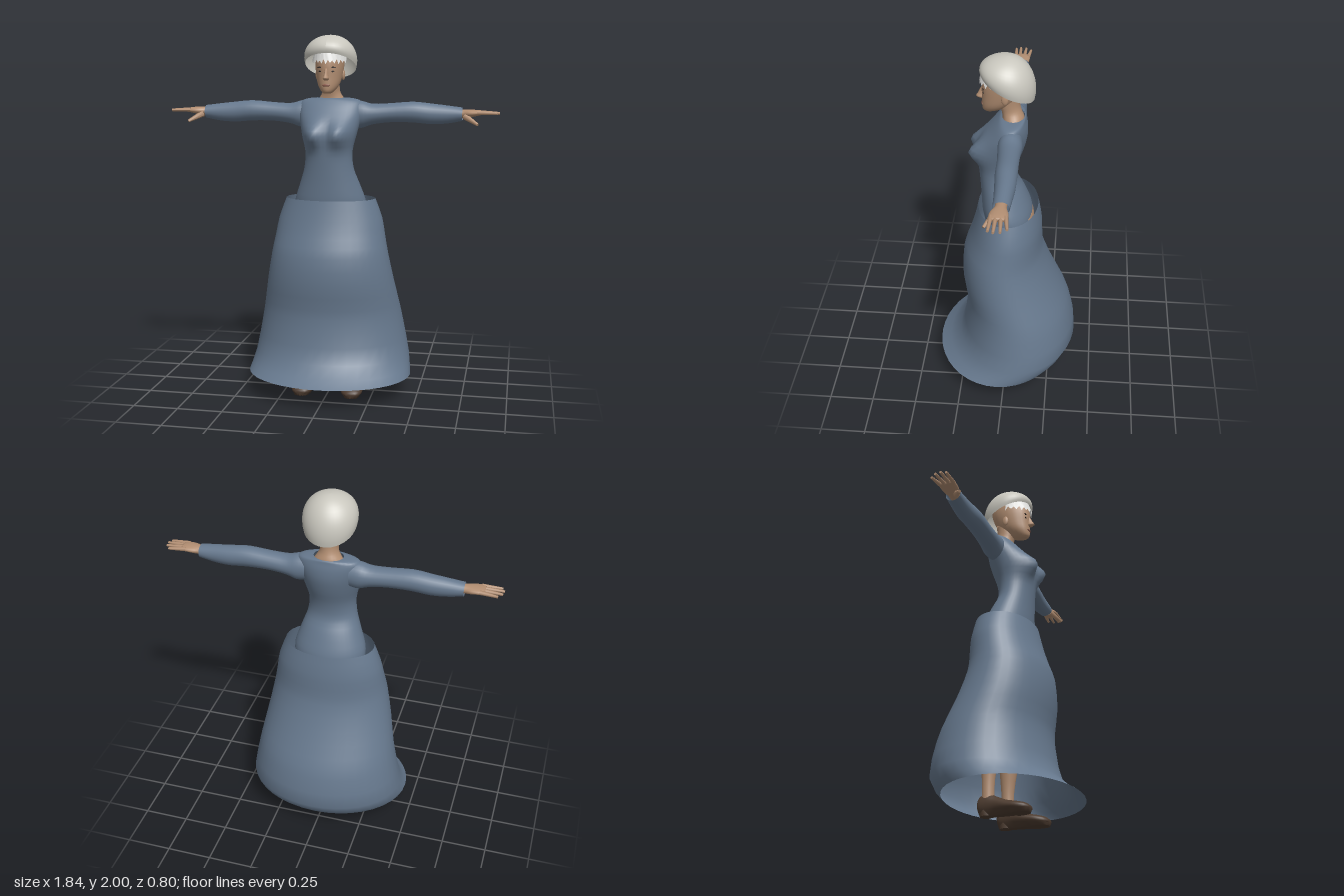
import * as THREE from 'three';

const material = (name, color, side = THREE.FrontSide) => {
  const m = new THREE.MeshStandardMaterial({ color, side });
  m.name = name;
  return m;
};

// Axis mappings from (along, u, v) to x, y, z
const AXES = {
  x: (t, u, v) => [t, v, u],
  y: (t, u, v) => [u, t, v],
  z: (t, u, v) => [v, u, t],
};

// Smoothly resample cross-sections with a Catmull-Rom rule
function resample(rings, sub) {
  const out = [];
  const last = rings.length - 1;
  for (let i = 0; i < last; i++) {
    const [a, b, c, d] = [rings[Math.max(i - 1, 0)], rings[i], rings[i + 1], rings[Math.min(i + 2, last)]];
    for (let s = 0; s < sub; s++) {
      const k = s / sub;
      out.push(b.map((_, j) => b[j] + 0.5 * k * (c[j] - a[j]
        + k * (2 * a[j] - 5 * b[j] + 4 * c[j] - d[j] + k * (3 * (b[j] - c[j]) + d[j] - a[j])))));
    }
  }
  out.push(rings[last]);
  return out;
}

// Skin oval rings [along, centreU, radiusU, maxV, minV], listed in rising order
function loft(axis, rings, { n = 24, sub = 3, caps = true, warp = null } = {}) {
  const map = AXES[axis];
  const rows = resample(rings, sub);
  const pos = [];
  const index = [];
  const add = (t, u, v) => {
    const p = map(t, u, v);
    if (warp) warp(p);
    pos.push(...p);
  };
  for (const [t, cu, ru, hi, lo] of rows) {
    for (let j = 0; j < n; j++) {
      const a = (j / n) * Math.PI * 2;
      add(t, cu + ru * Math.sin(a), (hi + lo) / 2 + ((hi - lo) / 2) * Math.cos(a));
    }
  }
  for (let i = 0; i < rows.length - 1; i++) {
    for (let j = 0; j < n; j++) {
      const k = (j + 1) % n;
      const [a, b, c, d] = [i * n + j, i * n + k, (i + 1) * n + k, (i + 1) * n + j];
      index.push(a, b, c, a, c, d);
    }
  }
  if (caps) {
    const top = (rows.length - 1) * n;
    const pole = pos.length / 3;
    for (const r of [rows[0], rows[rows.length - 1]]) add(r[0], r[1], (r[3] + r[4]) / 2);
    for (let j = 0; j < n; j++) {
      const k = (j + 1) % n;
      index.push(pole, k, j, pole + 1, top + j, top + k);
    }
  }
  return build(pos, index);
}

function build(pos, index) {
  const g = new THREE.BufferGeometry();
  g.setAttribute('position', new THREE.Float32BufferAttribute(pos, 3));
  g.setIndex(index);
  g.computeVertexNormals();
  return g;
}

// Tapered rod between two points
function rod(a, b, ra, rb) {
  const [p, q] = [new THREE.Vector3(...a), new THREE.Vector3(...b)];
  const dir = q.clone().sub(p);
  const g = new THREE.CylinderGeometry(rb, ra, dir.length(), 8);
  g.applyQuaternion(new THREE.Quaternion().setFromUnitVectors(new THREE.Vector3(0, 1, 0), dir.normalize()));
  return g.translate(...p.add(q).multiplyScalar(0.5).toArray());
}

const ball = (x, y, z, rx, ry, rz) => new THREE.SphereGeometry(1, 16, 10).scale(rx, ry, rz).translate(x, y, z);

// Copy across x = 0 with the triangle order reversed
function mirrored(geometry) {
  const g = geometry.clone().scale(-1, 1, 1);
  const ix = g.index.array;
  for (let i = 0; i < ix.length; i += 3) [ix[i], ix[i + 1]] = [ix[i + 1], ix[i]];
  g.computeVertexNormals();
  return g;
}

// Surface swept over a grid of (s, t) in 0..1
function grid(cols, rows, fn) {
  const pos = [];
  const index = [];
  for (let i = 0; i <= rows; i++) for (let j = 0; j <= cols; j++) pos.push(...fn(j / cols, i / rows, j));
  for (let i = 0; i < rows; i++) {
    for (let j = 0; j < cols; j++) {
      const a = i * (cols + 1) + j;
      const b = a + cols + 1;
      index.push(a, b, b + 1, a, b + 1, a + 1);
    }
  }
  return build(pos, index);
}

export function createModel() {
  const model = new THREE.Group();
  const dress = material('dress blue', 0x66788d, THREE.DoubleSide);
  const skin = material('skin', 0xb28e72);
  const hair = material('hair grey', 0xc9c7be, THREE.DoubleSide);
  const fringe = material('fringe white', 0xe2e2e0, THREE.DoubleSide);
  const leather = material('shoe brown', 0x4c3b2f);
  const dark = material('eye dark', 0x2e2622);
  const lip = material('lip', 0x8a5a4c);

  const part = (name, geometry, mat) => {
    const mesh = new THREE.Mesh(geometry, mat);
    mesh.name = name;
    model.add(mesh);
  };
  const pair = (name, geometry, mat) => {
    part(name + 'Left', geometry, mat);
    part(name + 'Right', mirrored(geometry), mat);
  };

  // Skirt: open bell, straight at the sides, swept back behind
  const skirtDepth = [[0.118, 0.4, -0.335], [0.215, 0.28, -0.4], [0.4, 0.24, -0.37], [0.51, 0.235, -0.325],
    [0.65, 0.255, -0.26], [0.8, 0.248, -0.205], [0.9, 0.215, -0.195], [1.0, 0.185, -0.19], [1.107, 0.162, -0.17]];
  part('skirt', loft('y', skirtDepth.map(([y, f, b]) =>
    [y, 0, y > 1.05 ? 0.25 : 0.29 + (1 - y) * 0.193, f, b]), { n: 40, sub: 2, caps: false }), dress);

  // Bodice with the bust raised by a rule
  const bust = (p) => {
    if (p[2] < 0.04) return;
    const d = ((Math.abs(p[0]) - 0.075) / 0.055) ** 2 + ((p[1] - 1.465) / 0.06) ** 2;
    p[2] += 0.062 * Math.exp(-d);
  };
  part('bodice', loft('y', [[1.04, 0, 0.2, 0.13, -0.14], [1.1, 0, 0.197, 0.14, -0.13], [1.2, 0, 0.163, 0.145, -0.09],
    [1.28, 0, 0.137, 0.15, -0.05], [1.37, 0, 0.13, 0.157, -0.055], [1.46, 0, 0.15, 0.158, -0.085],
    [1.54, 0, 0.168, 0.135, -0.105], [1.6, 0, 0.176, 0.09, -0.106], [1.64, 0, 0.168, 0.055, -0.098],
    [1.655, 0, 0.13, 0.04, -0.095], [1.66, 0, 0.08, 0.03, -0.09]], { n: 40, caps: false, warp: bust }), dress);

  // Sleeves, open at the wrist
  pair('sleeve', loft('x', [[0.12, -0.025, 0.06, 1.645, 1.5], [0.17, -0.025, 0.064, 1.643, 1.495],
    [0.23, -0.025, 0.06, 1.628, 1.515], [0.33, -0.027, 0.056, 1.632, 1.528], [0.45, -0.028, 0.056, 1.641, 1.528],
    [0.55, -0.03, 0.052, 1.632, 1.52], [0.64, -0.028, 0.046, 1.622, 1.525], [0.72, -0.026, 0.042, 1.612, 1.54]],
  { caps: false }), dress);

  // Hands
  pair('palm', loft('x', [[0.66, -0.025, 0.03, 1.6, 1.55], [0.72, -0.024, 0.03, 1.602, 1.555],
    [0.76, -0.02, 0.044, 1.602, 1.56], [0.8, -0.02, 0.047, 1.6, 1.568], [0.825, -0.02, 0.04, 1.595, 1.575]],
  { n: 16 }), skin);
  [[-0.055, -0.068, 0.893], [-0.032, -0.038, 0.915], [-0.008, -0.006, 0.92], [0.015, 0.02, 0.908]].forEach(
    ([z0, z1, x], i) => {
      pair('finger' + (i + 1), rod([0.8, 1.586, z0], [x, 1.583, z1], 0.012, 0.007), skin);
    });
  pair('thumb', rod([0.735, 1.565, 0.0], [0.805, 1.525, 0.05], 0.018, 0.008), skin);

  // Hips, legs and shoes
  part('hips', loft('y', [[0.88, 0, 0.15, 0.1, -0.11], [0.95, 0, 0.188, 0.125, -0.145],
    [1.04, 0, 0.192, 0.125, -0.145], [1.09, 0, 0.18, 0.12, -0.125]]), skin);
  pair('leg', loft('y', [[0.06, 0.137, 0.032, -0.025, -0.09], [0.2, 0.135, 0.034, -0.022, -0.092],
    [0.38, 0.128, 0.051, 0.01, -0.1], [0.55, 0.118, 0.05, 0.04, -0.065], [0.8, 0.103, 0.08, 0.09, -0.1],
    [0.98, 0.097, 0.09, 0.11, -0.13]]), skin);
  const shoeRows = [[-0.112, 0.055, 0.02, 0.02], [-0.1, 0.058, 0.05, 0.036], [-0.055, 0.06, 0.06, 0.042],
    [-0.01, 0.053, 0.049, 0.047], [0.05, 0.04, 0.036, 0.058], [0.11, 0.031, 0.031, 0.063],
    [0.155, 0.025, 0.024, 0.05], [0.178, 0.022, 0.01, 0.025]];
  const sole = (p) => { if (p[1] < 0.012) p[1] = 0; };
  pair('shoe', loft('z', shoeRows.map(([z, cy, ry, w]) => {
    const cx = 0.133 + 0.06 * Math.max(z, 0);
    return [z, cy, ry, cx + w, cx - w];
  }), { warp: sole }), leather);
  pair('heel', rod([0.133, 0, -0.07], [0.133, 0.04, -0.07], 0.034, 0.036), leather);

  // Neck and head
  part('neck', loft('y', [[1.61, 0, 0.1, 0.03, -0.09], [1.655, 0, 0.07, 0.027, -0.086], [1.69, 0, 0.05, 0.033, -0.073],
    [1.73, 0, 0.047, 0.045, -0.066], [1.79, 0, 0.05, 0.04, -0.07]]), skin);
  part('head', loft('y', [[1.686, 0, 0.018, 0.118, 0.075], [1.7, 0, 0.036, 0.131, 0.03], [1.73, 0, 0.056, 0.134, -0.015],
    [1.775, 0, 0.069, 0.134, -0.06], [1.85, 0, 0.078, 0.135, -0.095], [1.92, 0, 0.07, 0.115, -0.095],
    [1.965, 0, 0.035, 0.06, -0.05]]), skin);
  part('nose', loft('y', [[1.757, 0, 0.01, 0.142, 0.11], [1.768, 0, 0.017, 0.164, 0.11], [1.785, 0, 0.012, 0.155, 0.11],
    [1.82, 0, 0.008, 0.138, 0.11]], { n: 12 }), skin);
  pair('ear', ball(0.072, 1.785, 0.01, 0.01, 0.03, 0.018), skin);
  pair('eye', ball(0.03, 1.805, 0.122, 0.013, 0.005, 0.004), dark);
  pair('brow', ball(0.032, 1.826, 0.123, 0.02, 0.004, 0.004), dark);
  part('mouth', ball(0, 1.731, 0.131, 0.022, 0.007, 0.006), lip);

  // Bowl-shaped hair with a rim that slopes down to the back
  const sweep = 1.85;
  part('hair', grid(40, 14, (s, t) => {
    const a = s * Math.PI * 2;
    const r = 0.145 * Math.sin(t * sweep);
    const rim = 1.834 + 0.49 * 0.139 * Math.cos(a);
    const y = 2 - (2 - rim) * (1 - Math.cos(t * sweep)) / (1 - Math.cos(sweep));
    return [r * Math.sin(a), y, r * Math.cos(a)];
  }), hair);

  // Jagged fringe under the front rim
  part('fringe', grid(24, 2, (s, t, j) => {
    const a = (s - 0.5) * 2.9;
    const low = 1.842 + (j % 2) * 0.02 + (j % 3) * 0.004;
    return [(0.08 + 0.017 * t) * Math.sin(a), 1.935 + (low - 1.935) * t, (0.122 + 0.024 * t) * Math.cos(a)];
  }), fringe);

  return model;
}
